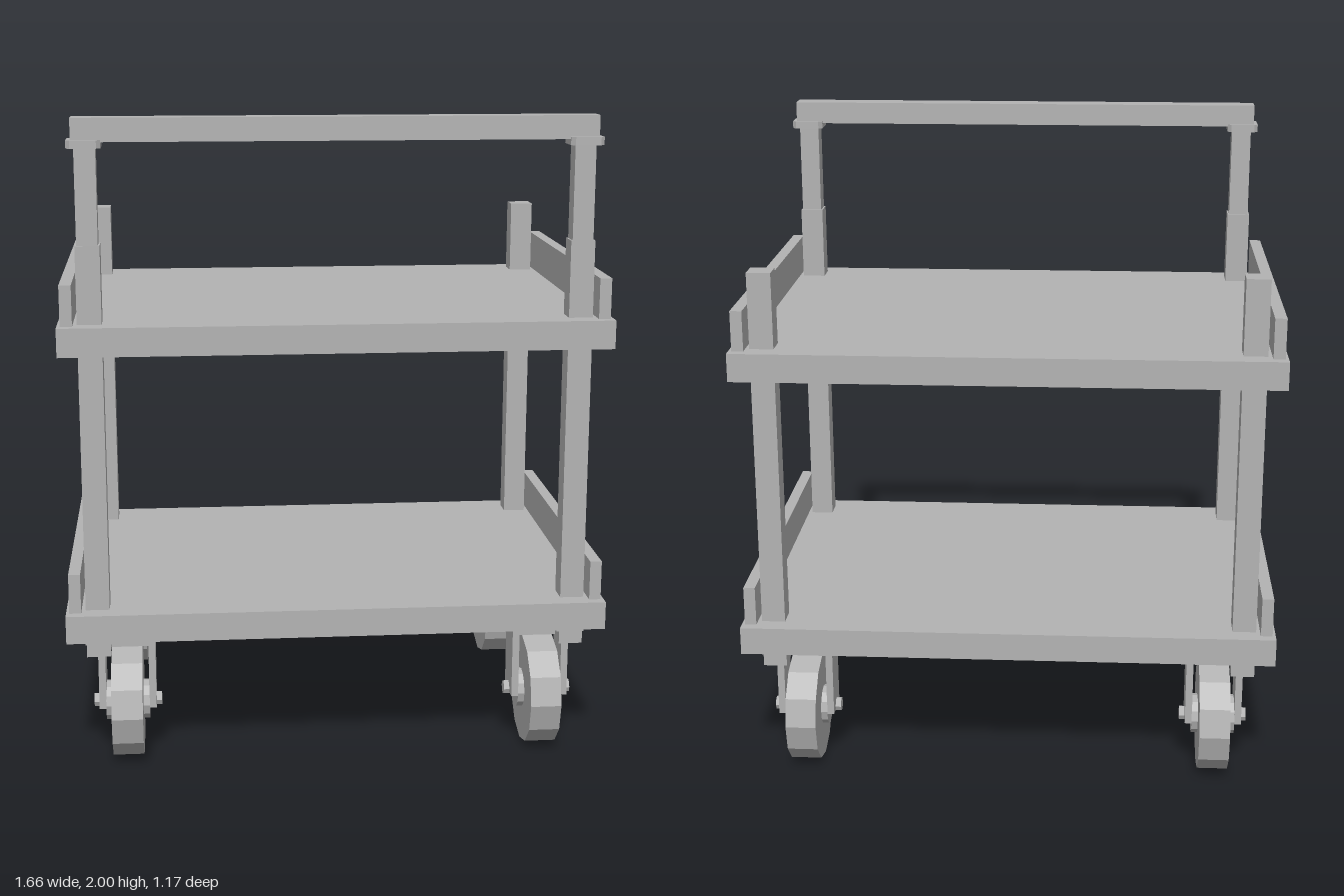
import * as THREE from 'three';

export function createModel() {
  const model = new THREE.Group();
  model.name = 'trolley';
  const grey = new THREE.MeshStandardMaterial({ color: 0xb3b3b3, flatShading: true });
  grey.name = 'plain grey';

  const add = (name, geometry, x, y, z, parent = model) => {
    const mesh = new THREE.Mesh(geometry, grey);
    mesh.name = name;
    mesh.position.set(x, y, z);
    parent.add(mesh);
    return mesh;
  };
  // Box given by its lower and upper corners
  const box = (name, [x0, y0, z0], [x1, y1, z1], parent) =>
    add(name, new THREE.BoxGeometry(x1 - x0, y1 - y0, z1 - z0),
      (x0 + x1) / 2, (y0 + y1) / 2, (z0 + z1) / 2, parent);
  // Cylinder lying along x
  const axleDrum = (name, radius, length, sides, parent) => {
    const g = new THREE.CylinderGeometry(radius, radius, length, sides);
    g.rotateZ(Math.PI / 2);
    return add(name, g, 0, 0, 0, parent);
  };
  // Flat plate outline, centred, with bevelled corners
  const plate = (w, h, topCut, bottomCut, depth) => {
    const a = w / 2, b = h / 2, s = new THREE.Shape();
    s.moveTo(-a + bottomCut, -b);
    s.lineTo(a - bottomCut, -b);
    if (bottomCut) s.lineTo(a, -b + bottomCut);
    s.lineTo(a, b - topCut);
    s.lineTo(a - topCut, b);
    s.lineTo(-a + topCut, b);
    s.lineTo(-a, b - topCut);
    if (bottomCut) s.lineTo(-a, -b + bottomCut);
    s.closePath();
    const g = new THREE.ExtrudeGeometry(s, { depth, bevelEnabled: false });
    return g.translate(0, 0, -depth / 2);
  };

  // Two shelves, each with a rail along both sides
  for (const [label, y] of [['lower', 0.425], ['upper', 1.31]]) {
    box(label + 'Shelf', [-0.83, y, -0.58], [0.83, y + 0.087, 0.58]);
    for (const s of [-1, 1]) {
      add(label + 'SideRail', new THREE.BoxGeometry(0.036, 0.123, 1.1), s * 0.802, y + 0.1485, 0);
    }
  }

  // Corner posts
  for (const sx of [-1, 1]) {
    for (const sz of [-1, 1]) {
      add('cornerPost', new THREE.BoxGeometry(0.073, 1.27, 0.073), sx * 0.735, 0.995, sz * 0.486);
    }
    // Push handle uprights with collars
    add('handleUpright', new THREE.BoxGeometry(0.063, 0.32, 0.063), sx * 0.735, 1.78, 0.486);
    const collar = plate(0.1, 0.105, 0.012, 0.012, 0.024).rotateX(-Math.PI / 2);
    add('handleCollar', collar, sx * 0.738, 1.925, 0.485);
  }
  box('handleBar', [-0.775, 1.93, 0.447], [0.775, 2, 0.519]);

  // Casters
  for (const sx of [-1, 1]) {
    for (const sz of [-1, 1]) {
      const caster = new THREE.Group();
      caster.name = 'caster';
      caster.position.set(sx * 0.652, 0.175, sz * 0.41);
      model.add(caster);
      axleDrum('wheel', 0.174, 0.096, 12, caster);
      axleDrum('hub', 0.062, 0.136, 12, caster);
      axleDrum('axle', 0.022, 0.212, 8, caster);
      // Fork: two legs and the bridge above the wheel
      for (const side of [-1, 1]) {
        const leg = plate(0.112, 0.24, 0.015, 0, 0.022).rotateY(Math.PI / 2);
        add('forkLeg', leg, side * 0.078, 0.11, 0, caster);
      }
      add('forkBridge', new THREE.BoxGeometry(0.178, 0.034, 0.11), 0, 0.212, 0, caster);
      // Mounting plate joining the fork to the post
      add('mountingPlate', new THREE.BoxGeometry(0.086, 0.03, 0.138), sx * 0.081, 0.24, sz * 0.046, caster);
      add('swivelPin', new THREE.CylinderGeometry(0.03, 0.03, 0.04, 12), 0, 0.24, 0, caster);
    }
  }
  return model;
}
